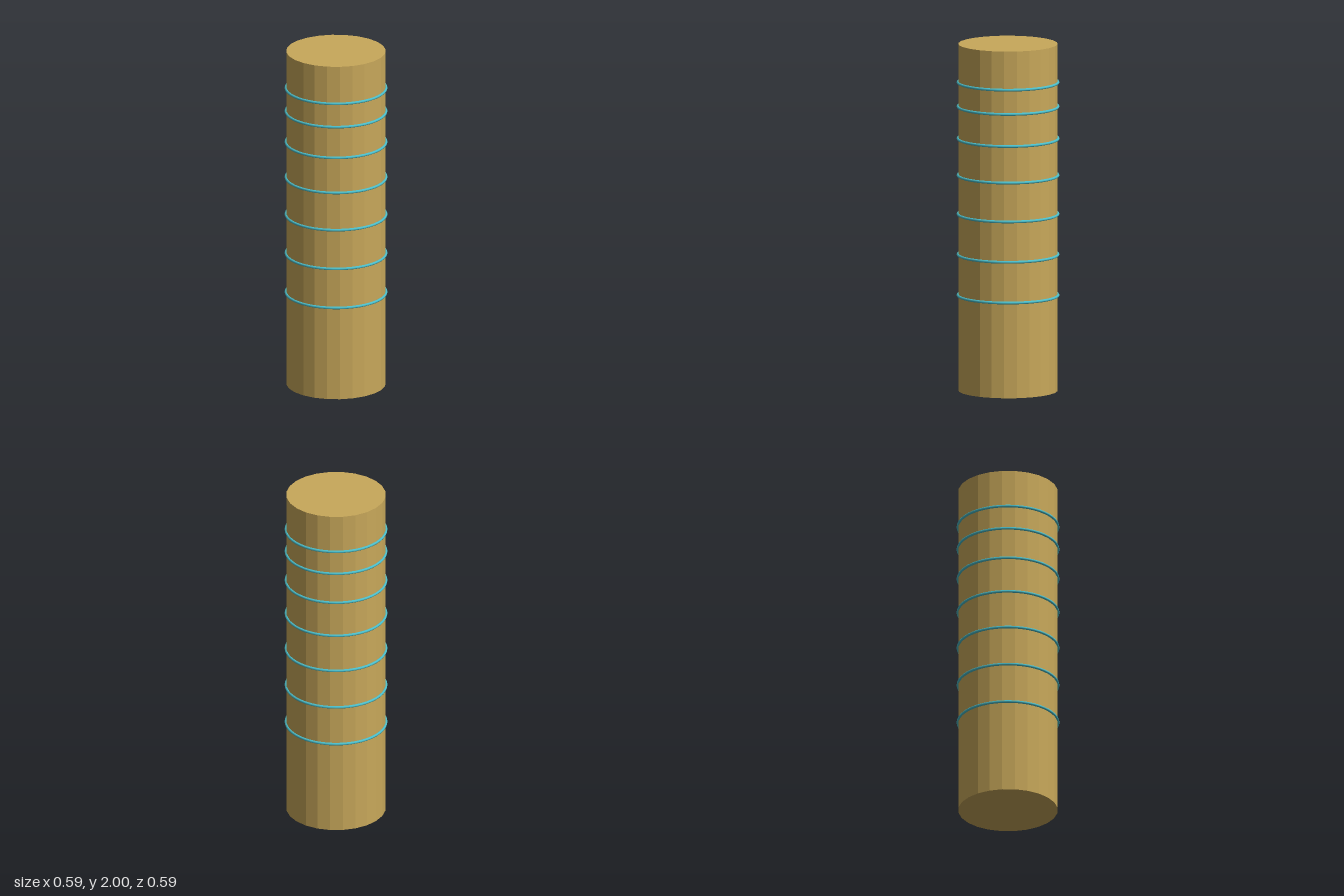
import * as THREE from 'three';

export function createModel() {
  const tan = new THREE.MeshStandardMaterial({ color: 0xc8a85a });
  tan.name = 'tan';
  tan.flatShading = true;
  const turquoise = new THREE.MeshStandardMaterial({ color: 0x4cc0cc });
  turquoise.name = 'turquoise';

  const model = new THREE.Group();
  model.name = 'bandedColumn';

  // Faceted solid column
  const column = new THREE.Mesh(new THREE.CylinderGeometry(0.284, 0.284, 2, 24), tan);
  column.name = 'column';
  column.position.y = 1;
  model.add(column);

  // Thin bands, closer together towards the top
  const bandGeometry = new THREE.TorusGeometry(0.285, 0.008, 8, 48).rotateX(Math.PI / 2);
  [0.55, 0.785, 1.018, 1.242, 1.453, 1.638, 1.778].forEach((y, i) => {
    const band = new THREE.Mesh(bandGeometry, turquoise);
    band.name = `band${i + 1}`;
    band.position.y = y;
    model.add(band);
  });

  return model;
}
